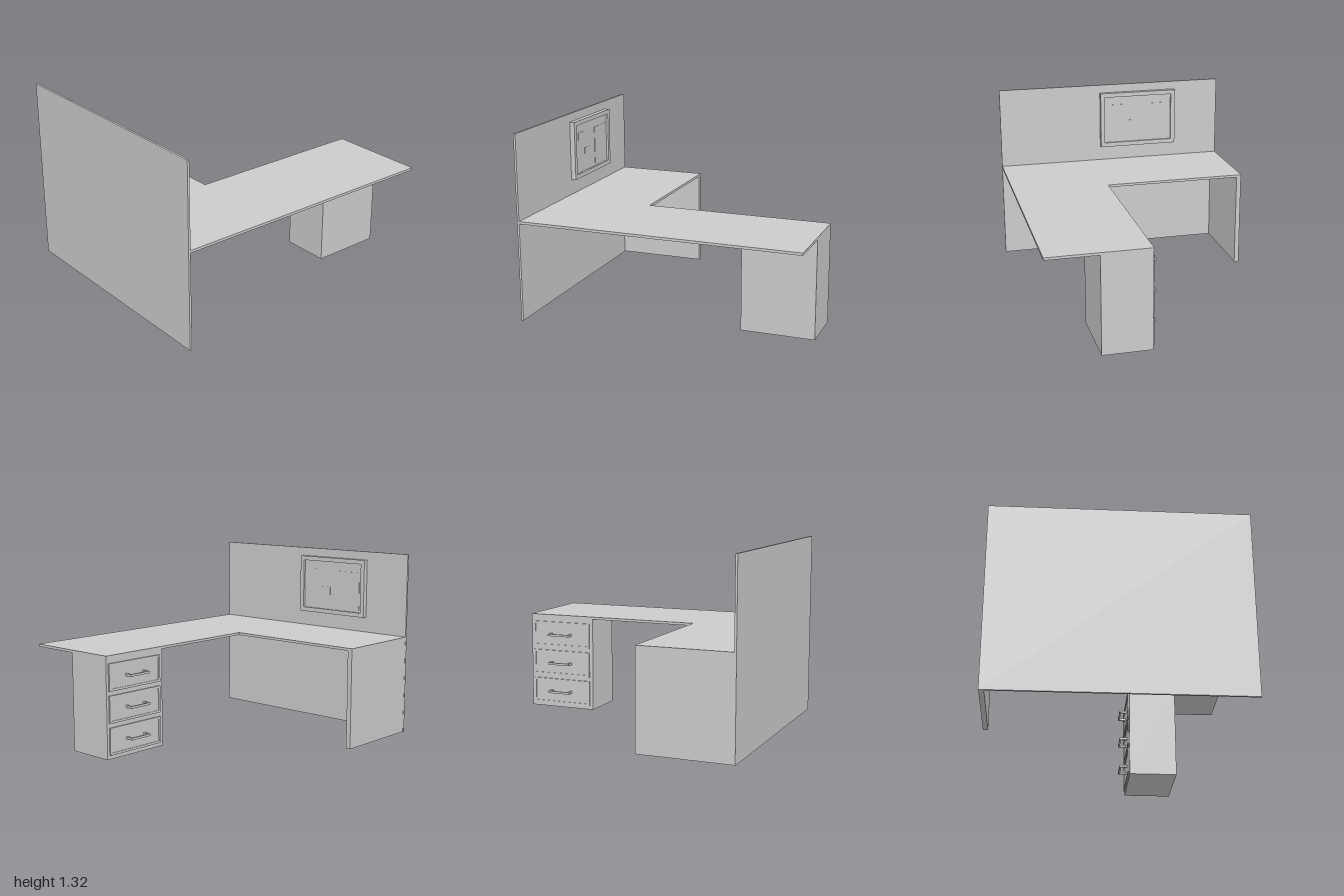
import * as THREE from 'three';

const material = new THREE.MeshStandardMaterial({ color: 0xcccccc });

// Box given by its extents along each axis
function slab(name, [x0, x1], [y0, y1], [z0, z1]) {
  const mesh = new THREE.Mesh(new THREE.BoxGeometry(x1 - x0, y1 - y0, z1 - z0), material);
  mesh.position.set((x0 + x1) / 2, (y0 + y1) / 2, (z0 + z1) / 2);
  mesh.name = name;
  return mesh;
}

function shapeFrom(points) {
  return new THREE.Shape(points.map(([x, y]) => new THREE.Vector2(x, y)));
}

// Rectangular ring extruded along +z
function ringGeometry(w, h, border, depth) {
  const rect = (a, b) => [[-a, -b], [a, -b], [a, b], [-a, b]];
  const shape = shapeFrom(rect(w / 2, h / 2));
  shape.holes.push(shapeFrom(rect(w / 2 - border, h / 2 - border)));
  return new THREE.ExtrudeGeometry(shape, { depth, bevelEnabled: false });
}

// Drawer front with a rim, an inset panel and a bar handle, facing -x
function createDrawer(y) {
  const drawer = new THREE.Group();
  drawer.name = 'drawer';
  const rim = new THREE.Mesh(ringGeometry(0.47, 0.19, 0.016, 0.01), material);
  rim.name = 'drawerRim';
  rim.rotation.y = -Math.PI / 2;
  rim.position.set(0.165, 0, -0.745);
  drawer.add(
    rim,
    slab('drawerPanel', [0.16, 0.166], [-0.08, 0.08], [-0.965, -0.525]),
    slab('handleBar', [0.103, 0.115], [-0.008, 0.008], [-0.832, -0.658])
  );
  for (const z of [-0.824, -0.666]) {
    drawer.add(slab('handlePost', [0.11, 0.162], [-0.008, 0.008], [z - 0.008, z + 0.008]));
  }
  drawer.position.y = y;
  return drawer;
}

export function createModel() {
  const model = new THREE.Group();
  model.name = 'cornerDesk';

  // L-shaped worktop, drawn in (x, -z) and laid flat
  const outline = shapeFrom([
    [-0.875, -0.987], [0.862, -0.987], [0.87, 1], [0.163, 1], [0.163, -0.323], [-0.875, -0.323],
  ]);
  const top = new THREE.Mesh(
    new THREE.ExtrudeGeometry(outline, { depth: 0.018, bevelEnabled: false }), material);
  top.name = 'worktop';
  top.rotation.x = -Math.PI / 2;
  top.position.y = 0.696;
  model.add(top);

  // Tall front screen and the end support
  model.add(slab('frontScreen', [-0.875, 0.862], [0, 1.317], [0.985, 1]));
  model.add(slab('endPanel', [-0.874, -0.84], [0.003, 0.696], [0.324, 0.985]));

  // Drawer pedestal
  const pedestal = new THREE.Group();
  pedestal.name = 'pedestal';
  pedestal.add(slab('pedestalBody', [0.165, 0.51], [0.003, 0.696], [-0.999, -0.483]));
  for (const y of [0.125, 0.345, 0.565]) pedestal.add(createDrawer(y));
  model.add(pedestal);

  // Notice board with pinned sheets on the inside of the screen
  const board = new THREE.Group();
  board.name = 'noticeBoard';
  const frame = new THREE.Mesh(ringGeometry(0.6, 0.43, 0.032, 0.037), material);
  frame.name = 'boardFrame';
  frame.position.set(-0.222, 1.04, 0.949);
  board.add(
    frame,
    slab('boardBacking', [-0.5, 0.06], [0.84, 1.24], [0.965, 0.985]),
    slab('largeSheet', [-0.47, -0.28], [0.875, 1.157], [0.962, 0.966]),
    slab('smallSheet', [-0.2, -0.11], [0.95, 1.03], [0.962, 0.966]),
    slab('mediumSheet', [-0.1, -0.01], [1.07, 1.16], [0.962, 0.966])
  );
  model.add(board);

  return model;
}
